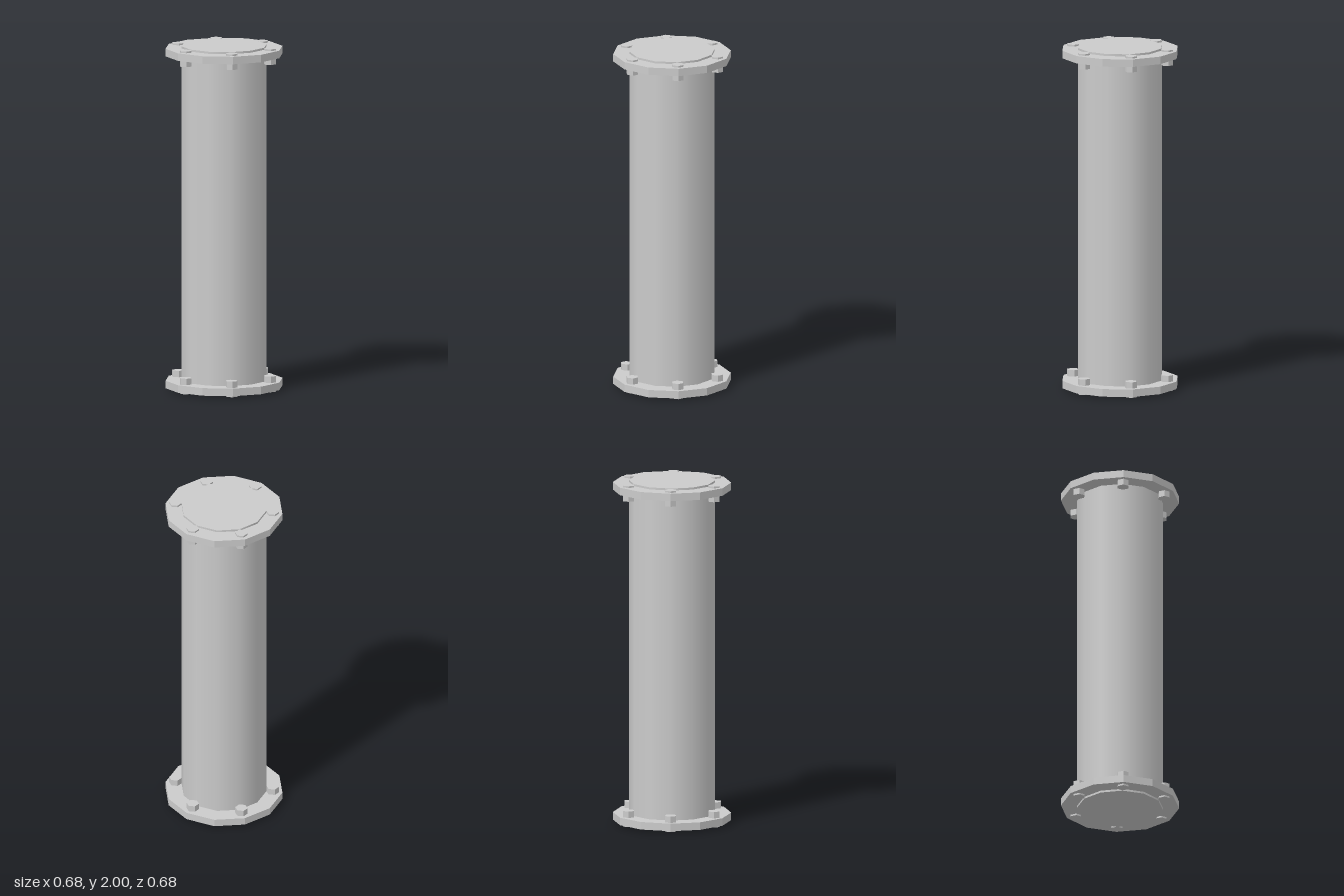
import * as THREE from 'three';

const material = new THREE.MeshStandardMaterial({ color: 0xcccccc });
const flat = new THREE.MeshStandardMaterial({ color: 0xcccccc, flatShading: true });

// Upright prism spanning y0..y1
function prism(name, radius, y0, y1, sides, mat) {
  const mesh = new THREE.Mesh(new THREE.CylinderGeometry(radius, radius, y1 - y0, sides), mat);
  mesh.name = name;
  mesh.position.y = (y0 + y1) / 2;
  return mesh;
}

// Bolted flange; top = true gives the mirrored upper one
function flangeEnd(top) {
  const end = new THREE.Group();
  end.name = top ? 'topFlange' : 'bottomFlange';
  const span = (a, b) => (top ? [2 - b, 2 - a] : [a, b]);
  end.add(prism('flangePlate', 0.34, ...span(0.012, 0.056), 12, flat));

  // Six hexagonal bolts, all turned the same way
  for (let i = 0; i < 6; i++) {
    const angle = (i * Math.PI) / 3;
    const bolt = prism('bolt', 0.036, ...span(0.002, 0.093), 6, flat);
    bolt.position.x = Math.sin(angle) * 0.283;
    bolt.position.z = Math.cos(angle) * 0.283;
    end.add(bolt);
  }
  return end;
}

export function createModel() {
  const model = new THREE.Group();
  model.name = 'flangedPipe';
  // Pipe body, closed at both ends and slightly proud of the flanges
  model.add(prism('pipe', 0.247, 0, 2, 12, material));
  model.add(flangeEnd(false), flangeEnd(true));
  return model;
}
